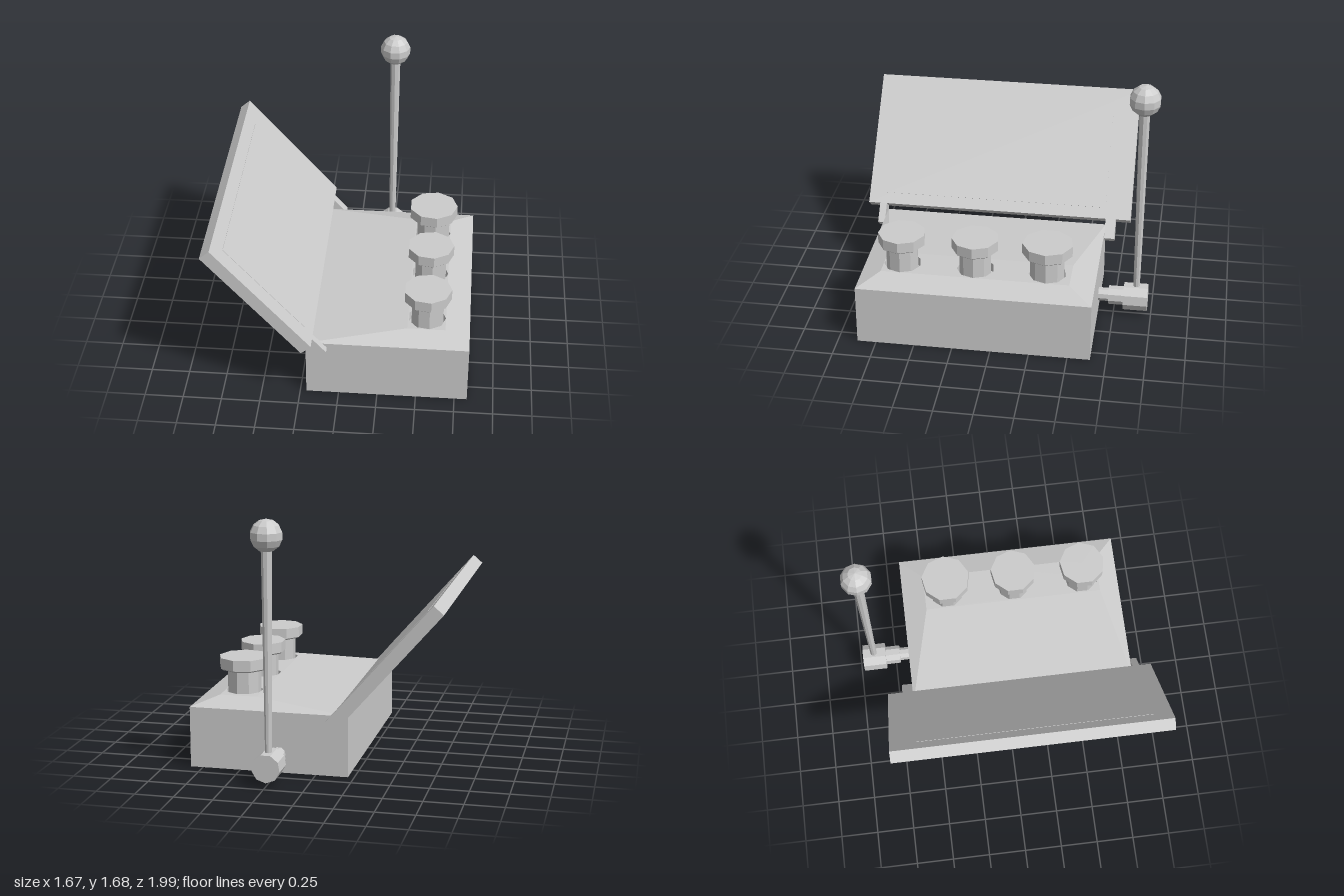
import * as THREE from 'three';

const grey = new THREE.MeshStandardMaterial({ color: 0xcccccc, flatShading: true });
const pale = new THREE.MeshStandardMaterial({ color: 0xefefef, flatShading: true });
const inside = new THREE.MeshStandardMaterial({ color: 0xcccccc, flatShading: true, side: THREE.BackSide });

const SIDES = 9;
const STEM_X = 0.553;
const BUTTONS = [{ z: -0.336, s: 1.07 }, { z: 0.133, s: 1 }, { z: 0.613, s: 1 }];
const SOCKET_R = 0.122;
const TOP = 0.45;

function add(parent, name, geometry, x = 0, y = 0, z = 0, material = grey) {
  const mesh = new THREE.Mesh(geometry, material);
  mesh.name = name;
  mesh.position.set(x, y, z);
  parent.add(mesh);
  return mesh;
}

// Box given by its minimum and maximum corners
function addBox(parent, name, [x0, y0, z0], [x1, y1, z1], material = grey) {
  return add(parent, name, new THREE.BoxGeometry(x1 - x0, y1 - y0, z1 - z0),
    (x0 + x1) / 2, (y0 + y1) / 2, (z0 + z1) / 2, material);
}

// Rectangular rings stacked upwards, closed underneath
function stackedRings(rings) {
  const positions = [], index = [0, 3, 2, 0, 2, 1];
  for (const [y, x0, x1, z0, z1] of rings) {
    positions.push(x0, y, z1, x1, y, z1, x1, y, z0, x0, y, z0);
  }
  for (let r = 0; r < rings.length - 1; r++) {
    for (let i = 0; i < 4; i++) {
      const j = (i + 1) % 4;
      const a = r * 4 + i, b = r * 4 + j;
      index.push(a, b, b + 4, a, b + 4, a + 4);
    }
  }
  const g = new THREE.BufferGeometry();
  g.setAttribute('position', new THREE.Float32BufferAttribute(positions, 3));
  g.setIndex(index);
  const flat = g.toNonIndexed();
  flat.computeVertexNormals();
  return flat;
}

function createCase() {
  const group = new THREE.Group();
  group.name = 'case';
  const [x0, x1, z0, z1] = [0.43, 0.675, -0.49, 0.735];
  add(group, 'caseBody', stackedRings([
    [0, -0.21, 0.832, -0.647, 0.873],
    [0.4, -0.21, 0.832, -0.647, 0.873],
    [TOP, x0, x1, z0, z1],
  ]));

  // Raised strip with a socket for every button
  const strip = new THREE.Shape();
  strip.moveTo(x0, -z1).lineTo(x1, -z1).lineTo(x1, -z0).lineTo(x0, -z0).closePath();
  for (const { z } of BUTTONS) {
    const pts = [];
    for (let i = 0; i < SIDES; i++) {
      const a = -i / SIDES * Math.PI * 2;
      pts.push(new THREE.Vector2(STEM_X + SOCKET_R * Math.cos(a), -z + SOCKET_R * Math.sin(a)));
    }
    strip.holes.push(new THREE.Path(pts));
    const wall = new THREE.CylinderGeometry(SOCKET_R, SOCKET_R, 0.06, SIDES, 1, true, Math.PI / 2);
    add(group, 'socketWall', wall, STEM_X, TOP - 0.03, z, inside);
    const floor = new THREE.CircleGeometry(SOCKET_R, SIDES).rotateX(-Math.PI / 2);
    add(group, 'socketFloor', floor, STEM_X, TOP - 0.06, z);
  }
  add(group, 'topStrip', new THREE.ShapeGeometry(strip).rotateX(-Math.PI / 2), 0, TOP, 0);
  return group;
}

function createButton({ z, s }) {
  // Stem, slightly bevelled underside of the cap, rim and flat top
  const profile = [[0.105, 0.385], [0.105, 0.6], [0.142, 0.6], [0.154, 0.61], [0.154, 0.681], [0, 0.681]]
    .map(([r, y]) => new THREE.Vector2(r * s, y));
  const mesh = new THREE.Mesh(new THREE.LatheGeometry(profile, SIDES, Math.PI / 2), grey);
  mesh.name = 'pushButton';
  mesh.position.set(STEM_X, 0, z);
  return mesh;
}

function createLid() {
  // Local y runs up the lid, local x points out of its inner face
  const lid = new THREE.Group();
  lid.name = 'lid';
  const t = 0.0415;
  addBox(lid, 'lidPanel', [-t, 0.135, -0.817], [t, 1.062, 1]);
  addBox(lid, 'lidInset', [0, 0.212, -0.643], [t + 0.002, 0.968, 0.877], pale);
  addBox(lid, 'hingeArmRight', [-t, 0, -0.717], [t, 0.135, -0.648]);
  addBox(lid, 'hingeArmLeft', [-t, 0, 0.874], [t, 0.135, 0.921]);
  lid.position.set(-0.105, 0.343, 0);
  lid.rotation.z = 0.717;
  return lid;
}

function createLever() {
  const lever = new THREE.Group();
  lever.name = 'lever';
  const x = 0.242, y = 0.126, z = -0.898;
  // Stepped axle out of the back of the case: radius, start z, end z
  const steps = [['axle', 0.045, -0.62, -0.715], ['collar', 0.063, -0.715, -0.815], ['hub', 0.092, -0.815, -0.975]];
  for (const [name, r, a, b] of steps) {
    const g = new THREE.CylinderGeometry(r, r, a - b, SIDES).rotateX(Math.PI / 2);
    add(lever, name, g, x, y, (a + b) / 2);
  }
  add(lever, 'leverRod', new THREE.CylinderGeometry(0.035, 0.021, 1.37, SIDES), x, y + 0.685, z);
  add(lever, 'leverKnob', new THREE.SphereGeometry(0.103, 10, 7), x, 1.576, z);
  return lever;
}

export function createModel() {
  const model = new THREE.Group();
  model.name = 'leverControlBox';
  model.add(createCase(), createLid(), createLever());
  for (const b of BUTTONS) model.add(createButton(b));
  return model;
}
